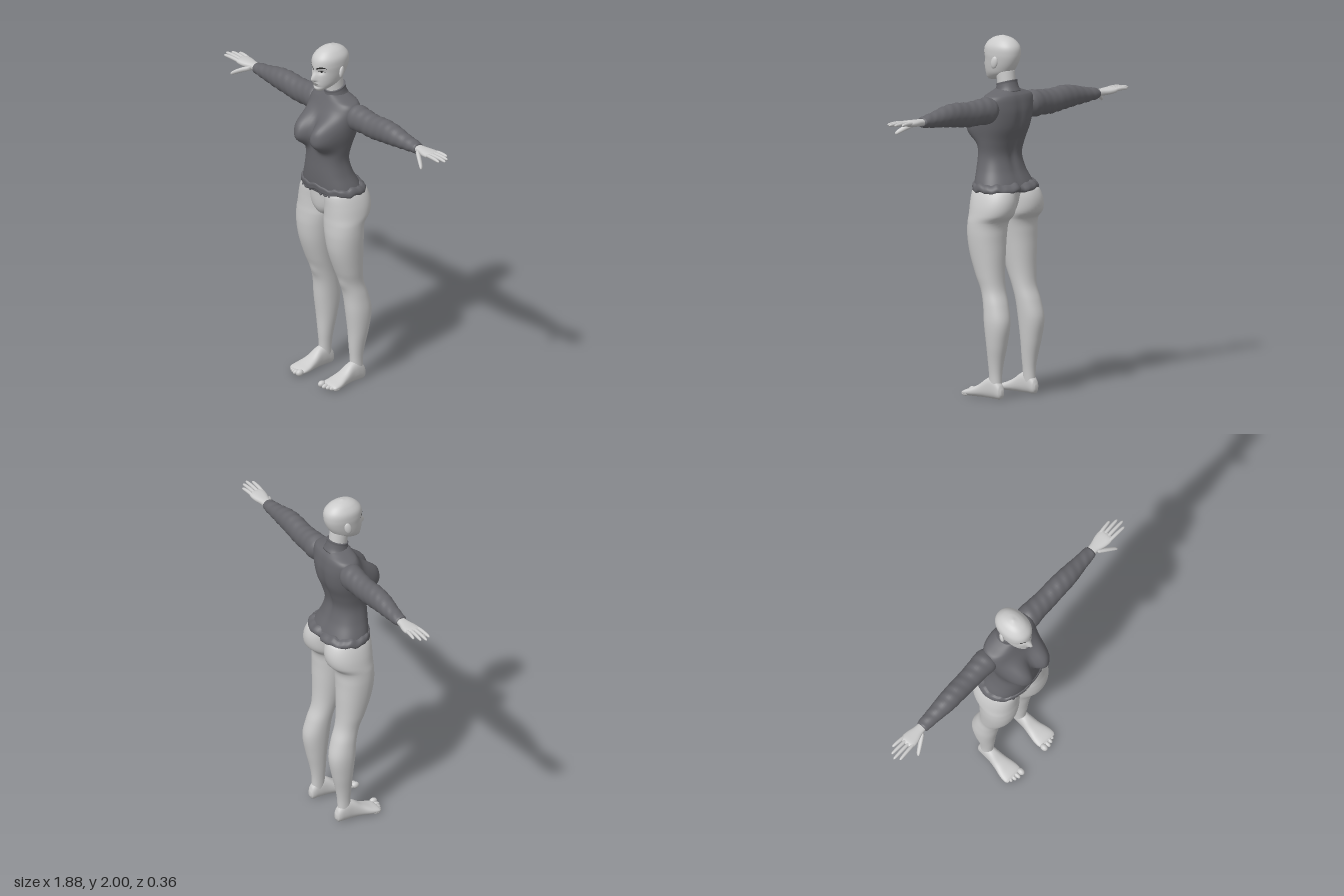
import * as THREE from 'three';

const material = (name, color) => Object.assign(new THREE.MeshStandardMaterial({ color }), { name });

// Smooth value through rows of numbers; column 0 is the position along the axis
function sampleRows(rows, i, f, k) {
  const slope = (j) => {
    const a = rows[Math.max(j - 1, 0)], b = rows[Math.min(j + 1, rows.length - 1)];
    return (b[k] - a[k]) / (b[0] - a[0]);
  };
  const h = rows[i + 1][0] - rows[i][0], f2 = f * f, f3 = f2 * f;
  return (2 * f3 - 3 * f2 + 1) * rows[i][k] + (f3 - 2 * f2 + f) * h * slope(i)
    + (3 * f2 - 2 * f3) * rows[i + 1][k] + (f3 - f2) * h * slope(i + 1);
}

// Closed body along x, y or z. Each row: [position, uMin, uMax, vMin, vMax]
// with (u, v) = (y, z), (z, x) or (x, y). "power" above 2 makes rings squarer.
function loft(axis, rows, { sides = 32, steps = 5, power = 2, shape } = {}) {
  const t = 'xyz'.indexOf(axis), u = (t + 1) % 3, v = (t + 2) % 3;
  const pos = [], index = [], p = new THREE.Vector3();
  const add = (a, b, c, angle) => {
    p.setComponent(t, a).setComponent(u, b).setComponent(v, c);
    if (shape) shape(p, angle);
    pos.push(p.x, p.y, p.z);
  };
  const rounded = (c) => Math.sign(c) * Math.abs(c) ** (2 / power);
  const rings = (rows.length - 1) * steps + 1;
  for (let r = 0; r < rings; r++) {
    const i = Math.min(Math.floor(r / steps), rows.length - 2), f = r / steps - i;
    const [at, u0, u1, v0, v1] = [0, 1, 2, 3, 4].map((k) =>
      k ? sampleRows(rows, i, f, k) : rows[i][0] + f * (rows[i + 1][0] - rows[i][0]));
    for (let s = 0; s < sides; s++) {
      const a = (s / sides) * Math.PI * 2;
      add(at, (u0 + u1) / 2 + rounded(Math.cos(a)) * (u1 - u0) / 2,
        (v0 + v1) / 2 + rounded(Math.sin(a)) * (v1 - v0) / 2, a);
    }
  }
  for (const row of [rows[0], rows[rows.length - 1]]) add(row[0], (row[1] + row[2]) / 2, (row[3] + row[4]) / 2, 0);
  const first = rings * sides, top = (rings - 1) * sides;
  for (let s = 0; s < sides; s++) {
    const n = (s + 1) % sides;
    for (let r = 0; r < rings - 1; r++) {
      const a = r * sides + s, b = r * sides + n;
      index.push(a, b, b + sides, a, b + sides, a + sides);
    }
    index.push(first, n, s, first + 1, top + s, top + n);
  }
  const geo = new THREE.BufferGeometry();
  geo.setAttribute('position', new THREE.Float32BufferAttribute(pos, 3));
  geo.setIndex(index);
  geo.computeVertexNormals();
  return geo;
}

// Upright body symmetric in x: rows of [y, halfWidth, zBack, zFront]
const upright = (rows, options) => loft('y', rows.map(([y, w, z0, z1]) => [y, z0, z1, -w, w]), options);

function mirrored(geo) {
  const g = geo.clone().scale(-1, 1, 1), ix = g.index.array;
  for (let i = 0; i < ix.length; i += 3) [ix[i], ix[i + 1]] = [ix[i + 1], ix[i]];
  g.computeVertexNormals();
  return g;
}

// Soft round swelling, 1 at its middle
const swell = (dx, dy, sx, sy, n = 2) => Math.exp(-(((dx / sx) ** 2 + (dy / sy) ** 2) ** (n / 2)));

export function createModel() {
  const model = new THREE.Group();
  model.name = 'figure';
  const skin = material('skin grey', 0xcbcbcb), knit = material('sweater grey', 0x66666b);
  const dark = material('brow dark', 0x2b2b2b), lip = material('lip grey', 0x8d8d8d);
  dark.side = lip.side = THREE.DoubleSide;
  const add = (name, geo, mat) => {
    const mesh = new THREE.Mesh(geo, mat);
    mesh.name = name;
    model.add(mesh);
    return mesh;
  };
  const pair = (name, geo, mat) => {
    add(name + 'Left', geo, mat);
    add(name + 'Right', mirrored(geo), mat);
  };

  // Head with nose, eye sockets, lips and chin
  const head = add('head', upright([
    [1.75, 0.022, 0.04, 0.09], [1.765, 0.04, -0.01, 0.1], [1.79, 0.058, -0.06, 0.101],
    [1.82, 0.068, -0.088, 0.104], [1.86, 0.076, -0.11, 0.104], [1.9, 0.081, -0.12, 0.106],
    [1.94, 0.078, -0.116, 0.098], [1.972, 0.058, -0.09, 0.07], [1.99, 0.034, -0.056, 0.036],
    [2, 0.004, -0.014, -0.006],
  ], { sides: 72, steps: 9, power: 2.15, shape: (p) => {
    if (p.z < 0.02) return;
    const x = Math.abs(p.x);
    p.z += 0.028 * swell(x, p.y - 1.822, 0.014, p.y > 1.822 ? 0.036 : 0.01)
      - 0.012 * swell(x - 0.034, p.y - 1.873, 0.02, 0.015)
      + 0.007 * swell(x, p.y - 1.796, 0.022, 0.012) - 0.005 * swell(x, p.y - 1.778, 0.03, 0.007);
  } }), skin);

  // Thin strips laid on the face: points of [x, y, half height]
  const ray = new THREE.Raycaster();
  head.updateMatrixWorld();
  const strip = (points) => {
    const pos = [], index = [];
    points.forEach(([x, y, h], i) => {
      for (const s of [-1, 1]) {
        ray.set(new THREE.Vector3(x, y + s * h, 1), new THREE.Vector3(0, 0, -1));
        const hit = ray.intersectObject(head)[0];
        pos.push(x, y + s * h, (hit ? hit.point.z : 0.05) + 0.002);
      }
      if (i) index.push(2 * i - 2, 2 * i, 2 * i + 1, 2 * i - 2, 2 * i + 1, 2 * i - 1);
    });
    const geo = new THREE.BufferGeometry();
    geo.setAttribute('position', new THREE.Float32BufferAttribute(pos, 3));
    geo.setIndex(index);
    geo.computeVertexNormals();
    return geo;
  };
  pair('eyebrow', strip([[0.014, 1.888, 0.003], [0.026, 1.894, 0.004], [0.04, 1.9, 0.004], [0.053, 1.9, 0.003], [0.064, 1.893, 0.001]]), dark);
  pair('eyelash', strip([[0.02, 1.87, 0.001], [0.028, 1.876, 0.002], [0.037, 1.878, 0.003], [0.047, 1.876, 0.002], [0.056, 1.871, 0.001]]), dark);
  pair('iris', strip([[0.031, 1.871, 0.002], [0.034, 1.871, 0.004], [0.039, 1.871, 0.004], [0.042, 1.871, 0.002]]), dark);
  add('lips', strip([-0.024, -0.016, -0.007, 0, 0.007, 0.016, 0.024].map((x) => [x, 1.796, 0.008 - 12 * x * x])), lip);

  // Ears
  const ear = new THREE.SphereGeometry(1, 20, 14).scale(0.011, 0.034, 0.02);
  pair('ear', ear.rotateX(-0.2).rotateY(0.35).translate(0.081, 1.857, -0.022), skin);

  // Neck and tilted collar
  add('neck', upright([[1.68, 0.052, -0.095, 0.01], [1.74, 0.05, -0.09, 0.015], [1.82, 0.052, -0.08, 0.03]]), skin);
  add('collar', upright([
    [1.675, 0.085, -0.118, 0.035], [1.7, 0.066, -0.108, 0.024], [1.73, 0.058, -0.1, 0.018], [1.745, 0.058, -0.1, 0.02],
  ], { shape: (p) => { p.y -= (p.z + 0.04) * 0.3; } }), knit);

  // Sweater body with the bust and the spine hollow
  add('sweaterBody', upright([
    [1.145, 0.192, -0.158, 0.102], [1.19, 0.178, -0.138, 0.11], [1.26, 0.148, -0.105, 0.114],
    [1.34, 0.13, -0.088, 0.113], [1.42, 0.14, -0.107, 0.113], [1.5, 0.157, -0.136, 0.108],
    [1.58, 0.169, -0.146, 0.088], [1.64, 0.172, -0.14, 0.055], [1.675, 0.155, -0.13, 0.035],
    [1.695, 0.1, -0.115, 0.024], [1.71, 0.055, -0.1, 0.015],
  ], { sides: 72, steps: 6, power: 2.3, shape: (p) => {
    const x = Math.abs(p.x);
    if (p.z > 0) p.z += 0.082 * swell(x - 0.084, p.y - 1.492, 0.07, p.y > 1.492 ? 0.1 : 0.076, 3.4) * Math.min(1, p.z / 0.05);
    else if (p.z < -0.05) p.z += 0.012 * swell(x, p.y - 1.42, 0.025, 0.2);
  } }), knit);

  // Rolled, uneven hem, notched at the middle of the back
  add('hem', upright([
    [1.14, 0.185, -0.155, 0.09], [1.147, 0.2, -0.172, 0.108], [1.165, 0.203, -0.172, 0.114],
    [1.183, 0.193, -0.155, 0.115], [1.19, 0.178, -0.14, 0.105],
  ], { sides: 96, power: 2.3, shape: (p, a) => {
    p.y += 0.004 * Math.sin(9 * a) + 0.003 * Math.sin(17 * a + 1) + (p.z > 0 ? 0.01 * swell(p.x, 0, 0.06, 1) : 0);
    if (p.z < 0) p.z += 0.022 * swell(p.x, 0, 0.02, 1);
  } }), knit);
  // Torn scraps hanging below the hem
  for (const [x, w] of [[0.045, 0.012], [0.08, 0.02], [0.11, 0.01]]) {
    pair('hemScrap', new THREE.SphereGeometry(1, 12, 8).scale(w, 0.012, 0.006).translate(x, 1.147, 0.105 - x * 0.12), knit);
  }

  // Sleeves with faint folds
  pair('sleeve', loft('x', [
    [0.13, 1.56, 1.66, -0.11, -0.01], [0.168, 1.53, 1.678, -0.126, 0.01], [0.24, 1.532, 1.674, -0.121, 0.005],
    [0.32, 1.53, 1.668, -0.117, 0.003], [0.42, 1.541, 1.675, -0.114, 0.002], [0.5, 1.55, 1.668, -0.11, 0],
    [0.6, 1.56, 1.645, -0.102, -0.014], [0.685, 1.57, 1.63, -0.096, -0.024], [0.695, 1.577, 1.623, -0.09, -0.03],
  ], { steps: 8, shape: (p, a) => {
    p.y += 0.002 * Math.sin(p.x * 110 + 2 * a);
  } }), knit);

  // Hands
  pair('palm', loft('x', [
    [0.66, 1.583, 1.62, -0.085, -0.035], [0.72, 1.583, 1.62, -0.09, -0.03], [0.77, 1.584, 1.621, -0.102, -0.016],
    [0.81, 1.59, 1.621, -0.103, -0.013], [0.83, 1.6, 1.615, -0.09, -0.025],
  ], { sides: 24, power: 2.4 }), skin);
  const finger = (x0, y0, z0, x1, y1, z1, r) => loft('x', [[0, 0.9], [0.3, 1], [0.6, 0.95], [0.9, 0.75], [0.975, 0.45], [1, 0.05]].map(([f, k]) => {
    const y = y0 + (y1 - y0) * f + 0.004 * Math.sin(f * Math.PI), z = z0 + (z1 - z0) * f;
    return [x0 + (x1 - x0) * f, y - r * k, y + r * k, z - r * k, z + r * k];
  }), { sides: 12, steps: 3 });
  for (const [name, z0, x1, z1] of [['littleFinger', -0.09, 0.89, -0.1], ['ringFinger', -0.069, 0.925, -0.075],
    ['middleFinger', -0.047, 0.94, -0.047], ['indexFinger', -0.025, 0.92, -0.018]]) {
    pair(name, finger(0.79, 1.606, z0, x1, 1.608, z1, 0.0105), skin);
  }
  pair('thumb', finger(0.715, 1.595, -0.035, 0.818, 1.543, 0.022, 0.015), skin);

  // Pelvis between the legs
  add('pelvis', upright([
    [0.985, 0.02, -0.05, 0.03], [1.01, 0.06, -0.08, 0.07], [1.06, 0.12, -0.11, 0.092], [1.16, 0.17, -0.13, 0.1],
  ]), skin);

  // Legs: rows of [y, zBack, zFront, xInner, xOuter]
  pair('leg', loft('y', [
    [0.05, -0.12, -0.045, 0.105, 0.165], [0.13, -0.12, -0.045, 0.1, 0.166], [0.2, -0.13, -0.04, 0.092, 0.174],
    [0.3, -0.153, -0.034, 0.08, 0.19], [0.42, -0.172, -0.02, 0.068, 0.201], [0.52, -0.15, -0.01, 0.06, 0.196],
    [0.6, -0.122, 0.01, 0.054, 0.191], [0.68, -0.113, 0.045, 0.045, 0.202], [0.8, -0.112, 0.085, 0.028, 0.218],
    [0.9, -0.112, 0.1, 0.014, 0.228], [0.975, -0.12, 0.1, 0.003, 0.229], [1.02, -0.163, 0.098, 0, 0.226],
    [1.08, -0.177, 0.098, 0, 0.216], [1.14, -0.165, 0.098, 0, 0.196], [1.17, -0.14, 0.09, 0.005, 0.175],
  ], { sides: 40, power: 2.15, shape: (p) => {
    if (p.z > -0.04) p.z += 0.008 * swell(p.x - 0.122, p.y - 0.595, 0.035, 0.035);
  } }), skin);

  // Feet: rows of [z, xInner, xOuter, yLow, yHigh]
  pair('foot', loft('z', [
    [-0.137, 0.122, 0.146, 0.02, 0.05], [-0.125, 0.11, 0.16, 0.002, 0.08], [-0.085, 0.104, 0.168, 0, 0.12],
    [-0.035, 0.1, 0.172, 0, 0.112], [0.02, 0.09, 0.182, 0, 0.074], [0.07, 0.08, 0.196, 0, 0.05],
    [0.11, 0.08, 0.198, 0.003, 0.036], [0.125, 0.092, 0.188, 0.01, 0.026],
  ], { power: 2.3 }), skin);
  [[0.095, 0.138, 0.018], [0.124, 0.136, 0.013], [0.147, 0.128, 0.012], [0.168, 0.118, 0.012], [0.187, 0.105, 0.011]].forEach(([x, z, r]) =>
    pair('toe', new THREE.SphereGeometry(1, 14, 10).scale(r, r * 0.9 + 0.003, 0.024).translate(x, r + 0.003, z - 0.006), skin));

  return model;
}
